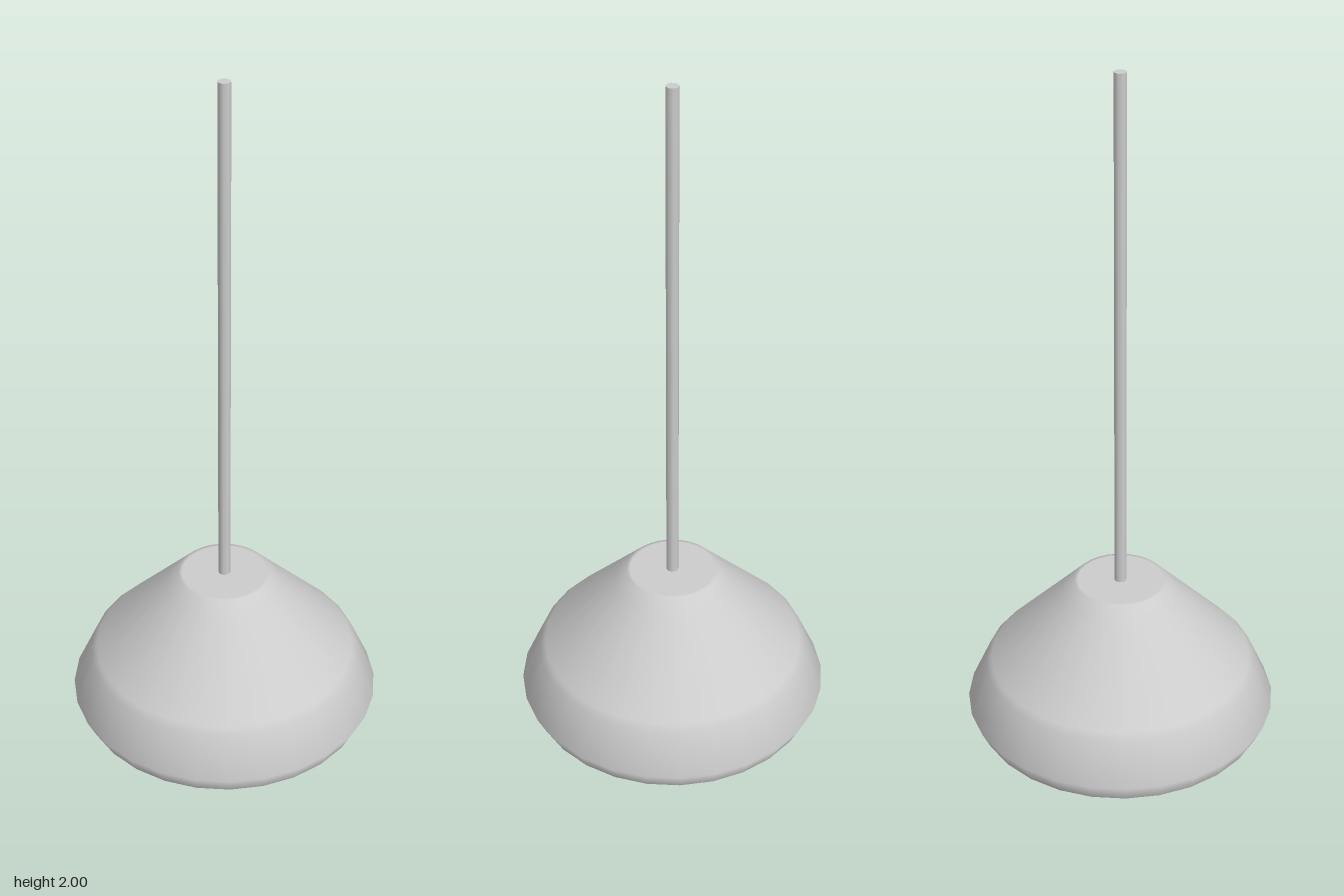
import * as THREE from 'three';

export function createModel() {
  const model = new THREE.Group();
  model.name = 'pendantLamp';

  const grey = new THREE.MeshStandardMaterial({ color: 0xcccccc });
  grey.name = 'light grey';

  const add = (name, geometry, y = 0) => {
    const mesh = new THREE.Mesh(geometry, grey);
    mesh.name = name;
    mesh.position.y = y;
    model.add(mesh);
    return mesh;
  };

  // Lamp shade: flared lathe profile from the lower rim to the flat top
  const profile = [
    [0.432, 0], [0.458, 0.055], [0.402, 0.18], [0.385, 0.198],
    [0.17, 0.423], [0.135, 0.46], [0.125, 0.46], [0, 0.46],
  ].map(([r, y]) => new THREE.Vector2(r, y));
  add('shade', new THREE.LatheGeometry(profile, 28));

  // Flat panel closing the underside
  const panel = new THREE.CircleGeometry(0.432, 28);
  panel.rotateX(Math.PI / 2);
  add('bottomPanel', panel);

  // Thin hanging rod
  add('rod', new THREE.CylinderGeometry(0.018, 0.018, 1.55, 8), 1.225);

  return model;
}
